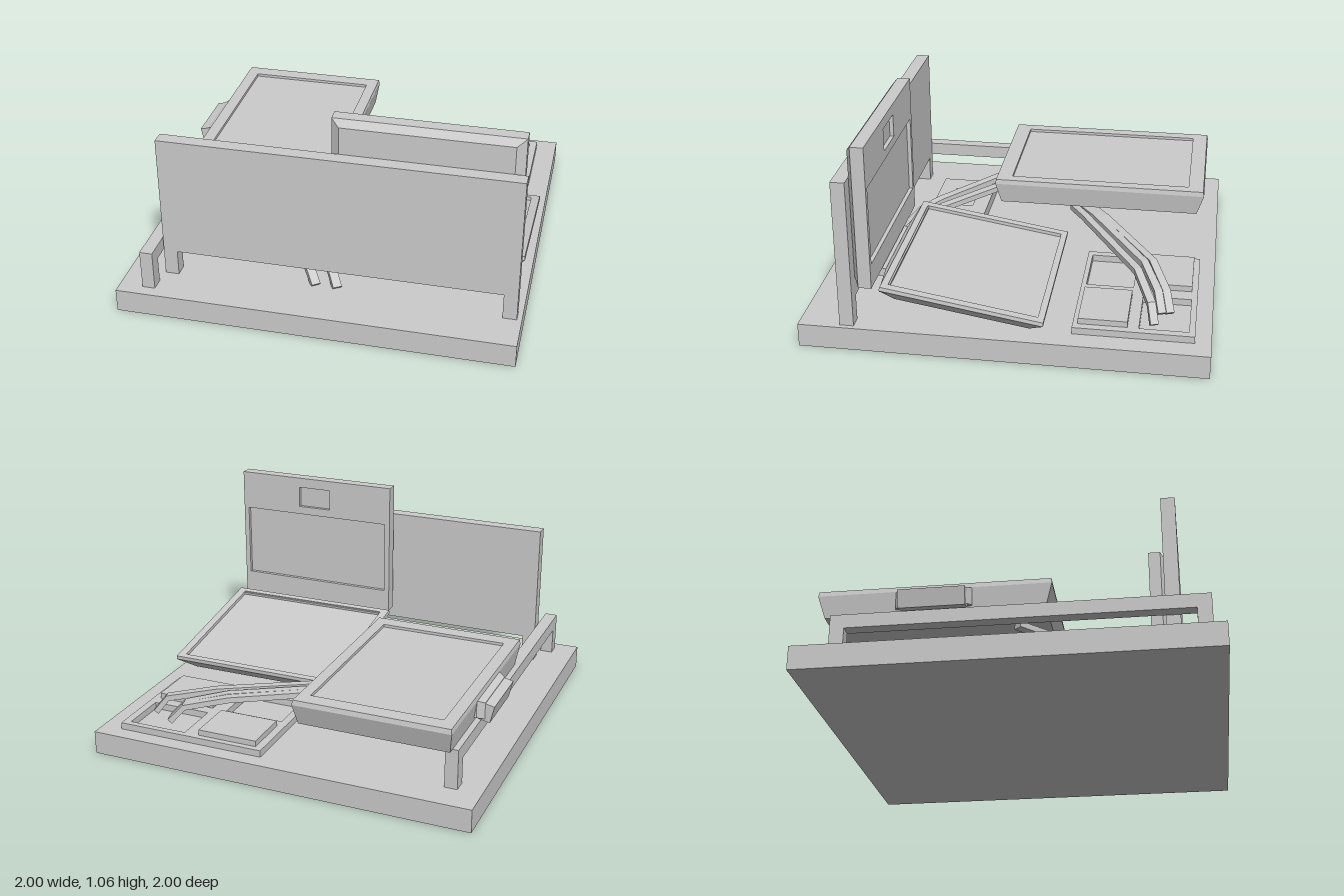
import * as THREE from 'three';

const material = new THREE.MeshStandardMaterial({ color: 0xcccccc, flatShading: true });

// Faceted geometry from closed four-corner loops, capped at both ends
function skin(loops) {
  const pos = [];
  const quad = (a, b, c, d) => pos.push(...a, ...b, ...c, ...a, ...c, ...d);
  for (let i = 0; i < loops.length - 1; i++) {
    for (let k = 0; k < 4; k++) {
      const n = (k + 1) % 4;
      quad(loops[i][k], loops[i][n], loops[i + 1][n], loops[i + 1][k]);
    }
  }
  const [a, b, c, d] = loops[0];
  quad(d, c, b, a);
  quad(...loops[loops.length - 1]);
  const g = new THREE.BufferGeometry();
  g.setAttribute('position', new THREE.Float32BufferAttribute(pos, 3));
  g.computeVertexNormals();
  return g;
}

// Rectangles [x0, x1, z0, z1, y] stacked upwards (and back down into a recess)
const stack = (levels) => skin(levels.map(([x0, x1, z0, z1, y]) =>
  [[x0, y, z1], [x1, y, z1], [x1, y, z0], [x0, y, z0]]));

// Rectangular bar swept along a path, kept upright at each bend
function strap(points, w, h) {
  const p = points.map((q) => new THREE.Vector3(...q));
  const up = new THREE.Vector3(0, 1, 0);
  return skin(p.map((c, i) => {
    const dir = p[Math.min(i + 1, p.length - 1)].clone().sub(p[Math.max(i - 1, 0)]).normalize();
    const side = dir.clone().cross(up).normalize();
    const top = side.clone().cross(dir);
    return [[-1, -1], [-1, 1], [1, 1], [1, -1]].map(([s, t]) =>
      c.clone().addScaledVector(side, s * w / 2).addScaledVector(top, t * h / 2).toArray());
  }));
}

function rectPath(x0, x1, y0, y1, Type) {
  return new Type([[x0, y0], [x1, y0], [x1, y1], [x0, y1]].map((p) => new THREE.Vector2(...p)));
}

// Plate in the XY plane with rectangular holes, extruded along +z
function plate(outer, holes, depth) {
  const s = rectPath(...outer, THREE.Shape);
  s.holes = holes.map((h) => rectPath(...h, THREE.Path));
  return new THREE.ExtrudeGeometry(s, { depth, bevelEnabled: false });
}

function box(x0, x1, y0, y1, z0, z1) {
  return new THREE.BoxGeometry(x1 - x0, y1 - y0, z1 - z0)
    .translate((x0 + x1) / 2, (y0 + y1) / 2, (z0 + z1) / 2);
}

export function createModel() {
  const model = new THREE.Group();
  const add = (name, geometry, parent = model) => {
    const mesh = new THREE.Mesh(geometry, material);
    mesh.name = name;
    parent.add(mesh);
    return mesh;
  };

  add('base', box(-1, 1, 0, 0.12, -1, 1));

  // Front wall on two short legs
  add('frontWall', box(-0.81, 0.975, 0.255, 0.885, 0.725, 0.795));
  for (const x of [-0.81, 0.905]) add('wallLeg', box(x, x + 0.07, 0.12, 0.255, 0.725, 0.795));

  // Low side rail
  add('sideRail', box(-0.88, -0.815, 0.255, 0.325, -0.85, 0.94));
  for (const z of [-0.85, 0.87]) add('railLeg', box(-0.88, -0.815, 0.12, 0.255, z, z + 0.07));

  // Large raised tray with its flared side handle
  add('tray', stack([
    [-0.85, -0.085, -0.885, 0.175, 0.325],
    [-0.867, -0.068, -0.92, 0.205, 0.435],
    [-0.863, -0.072, -0.915, 0.202, 0.46],
    [-0.8, -0.13, -0.835, 0.12, 0.46],
    [-0.8, -0.13, -0.835, 0.12, 0.445],
  ]));
  add('trayHandleBase', stack([
    [0.345, 0.435, -0.54, -0.175, 0.845],
    [0.345, 0.435, -0.54, -0.175, 0.865],
    [0.335, 0.42, -0.515, -0.195, 0.9],
  ]).rotateZ(Math.PI / 2));
  const handle = add('trayHandle', new THREE.BoxGeometry(0.09, 0.09, 0.32));
  handle.position.set(-0.892, 0.372, -0.355);
  handle.rotation.z = 0.23;

  // Tilted tray with tapered end piece and grip
  const tilted = new THREE.Group();
  tilted.name = 'tiltedTray';
  tilted.position.set(0.4975, 0.283, 0.19);
  tilted.rotation.x = -0.161;
  model.add(tilted);
  add('tiltedDish', stack([
    [-0.4, 0.4, -0.335, 0.335, -0.095],
    [-0.48, 0.48, -0.402, 0.402, -0.02],
    [-0.478, 0.478, -0.4, 0.4, 0],
    [-0.435, 0.435, -0.368, 0.368, 0],
    [-0.435, 0.435, -0.368, 0.368, -0.018],
  ]), tilted);
  add('tiltedEnd', stack([
    [-0.47, 0.47, 0.005, 0.03, 0.36],
    [-0.47, 0.47, 0.005, 0.03, 0.4],
    [-0.235, 0.235, 0.035, 0.08, 0.425],
  ]).rotateX(Math.PI / 2), tilted);
  add('tiltedGrip', box(-0.235, 0.235, -0.085, -0.04, 0.38, 0.457), tilted);

  // Upright panel: bevelled front, window and small pocket at the back
  add('panelFront', stack([
    [0.04, 0.958, -1.06, -0.325, 0.65],
    [0.04, 0.958, -1.06, -0.325, 0.695],
    [0.08, 0.912, -1.025, -0.36, 0.723],
  ]).rotateX(Math.PI / 2));
  add('panelBack', plate([0.04, 0.958, 0.325, 1.06],
    [[0.07, 0.93, 0.445, 0.845], [0.41, 0.6, 0.89, 1.005]], 0.02).translate(0, 0, 0.63));

  // Gridded slab: two open bays, two raised pads
  add('baySlab', plate([0.105, 0.89, 0.33, 0.92],
    [[0.145, 0.46, 0.355, 0.595], [0.54, 0.85, 0.65, 0.89]], 0.035)
    .rotateX(-Math.PI / 2).translate(0, 0.12, 0));
  add('bayPad', box(0.145, 0.46, 0.15, 0.185, -0.89, -0.65));
  add('bayPad', box(0.54, 0.85, 0.15, 0.185, -0.595, -0.355));

  // Small slab with a shallow recess
  add('smallSlab', stack([
    [-0.635, -0.17, 0.295, 0.605, 0.12],
    [-0.635, -0.17, 0.295, 0.605, 0.18],
    [-0.51, -0.3, 0.38, 0.515, 0.18],
    [-0.51, -0.3, 0.38, 0.515, 0.165],
  ]));

  // Bent straps running from under the tray to the front and to the bays
  const frontStraps = [
    [[-0.77, 0.27, 0.03], [-0.59, 0.27, 0.2], [-0.2, 0.25, 0.54], [-0.12, 0.22, 0.63], [-0.04, 0.12, 0.735]],
    [[-0.61, 0.27, 0.03], [-0.43, 0.27, 0.2], [-0.1, 0.26, 0.5], [-0.01, 0.23, 0.61], [0.07, 0.12, 0.735]],
  ];
  const backStraps = [
    [[-0.2, 0.265, -0.31], [-0.07, 0.275, -0.395], [0.4, 0.275, -0.685], [0.61, 0.23, -0.765], [0.68, 0.15, -0.79]],
    [[-0.2, 0.265, -0.265], [-0.07, 0.275, -0.35], [0.42, 0.275, -0.645], [0.62, 0.23, -0.725], [0.69, 0.15, -0.75]],
    [[-0.2, 0.265, -0.21], [-0.07, 0.275, -0.285], [0.5, 0.275, -0.615], [0.74, 0.23, -0.7], [0.8, 0.15, -0.72]],
  ];
  for (const p of frontStraps) add('frontStrap', strap(p, 0.045, 0.03));
  for (const p of backStraps) add('backStrap', strap(p, 0.04, 0.03));

  return model;
}
